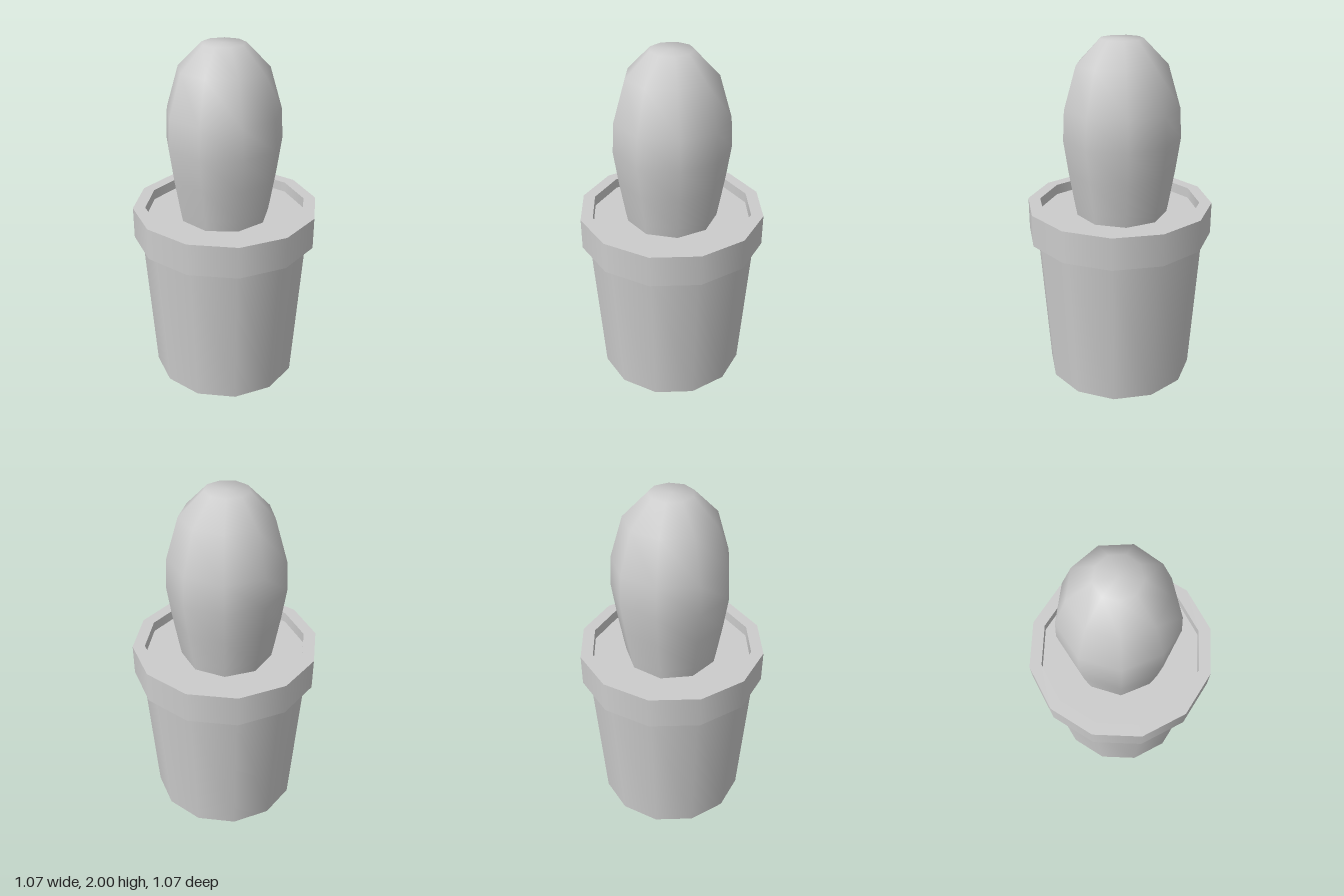
import * as THREE from 'three';
import { mergeGeometries } from 'three/addons/utils/BufferGeometryUtils.js';

const vec = ([r, y]) => new THREE.Vector2(r, y);

// Lathe whose profile corners stay sharp while the sides shade smoothly
function sharpLathe(profile, sides) {
  const bands = [];
  for (let i = 0; i < profile.length - 1; i++) {
    bands.push(new THREE.LatheGeometry([vec(profile[i]), vec(profile[i + 1])], sides));
  }
  return mergeGeometries(bands);
}

export function createModel() {
  const group = new THREE.Group();
  group.name = 'pottedCactus';
  const grey = new THREE.MeshStandardMaterial({ color: 0xcccccc });
  grey.name = 'plain grey';

  const add = (name, geometry) => {
    const mesh = new THREE.Mesh(geometry, grey);
    mesh.name = name;
    group.add(mesh);
    return mesh;
  };

  const SIDES = 12;
  const SOIL = 1.015;

  // Tapered pot with a closed base
  add('pot', sharpLathe([[0, 0], [0.432, 0], [0.488, 0.89]], SIDES));

  // Overhanging rim: underside, outer wall, lip and inner wall
  add('rim', sharpLathe(
    [[0.488, 0.89], [0.533, 0.89], [0.533, 1.075], [0.463, 1.075], [0.463, SOIL]], SIDES));

  // Soil surface inside the rim
  add('soil', sharpLathe([[0.463, SOIL], [0, SOIL]], SIDES));

  // Nine-sided cactus, widest above the middle, with a small flat crown
  const profile = [
    [0.262, SOIL], [0.274, 1.08], [0.306, 1.27], [0.3325, 1.46],
    [0.323, 1.63], [0.253, 1.865], [0.12, 2], [0, 2],
  ].map(vec);
  const cactus = add('cactus', new THREE.LatheGeometry(profile, 9, -Math.PI / 2));
  cactus.position.set(-0.0125, 0, 0.002);

  return group;
}
